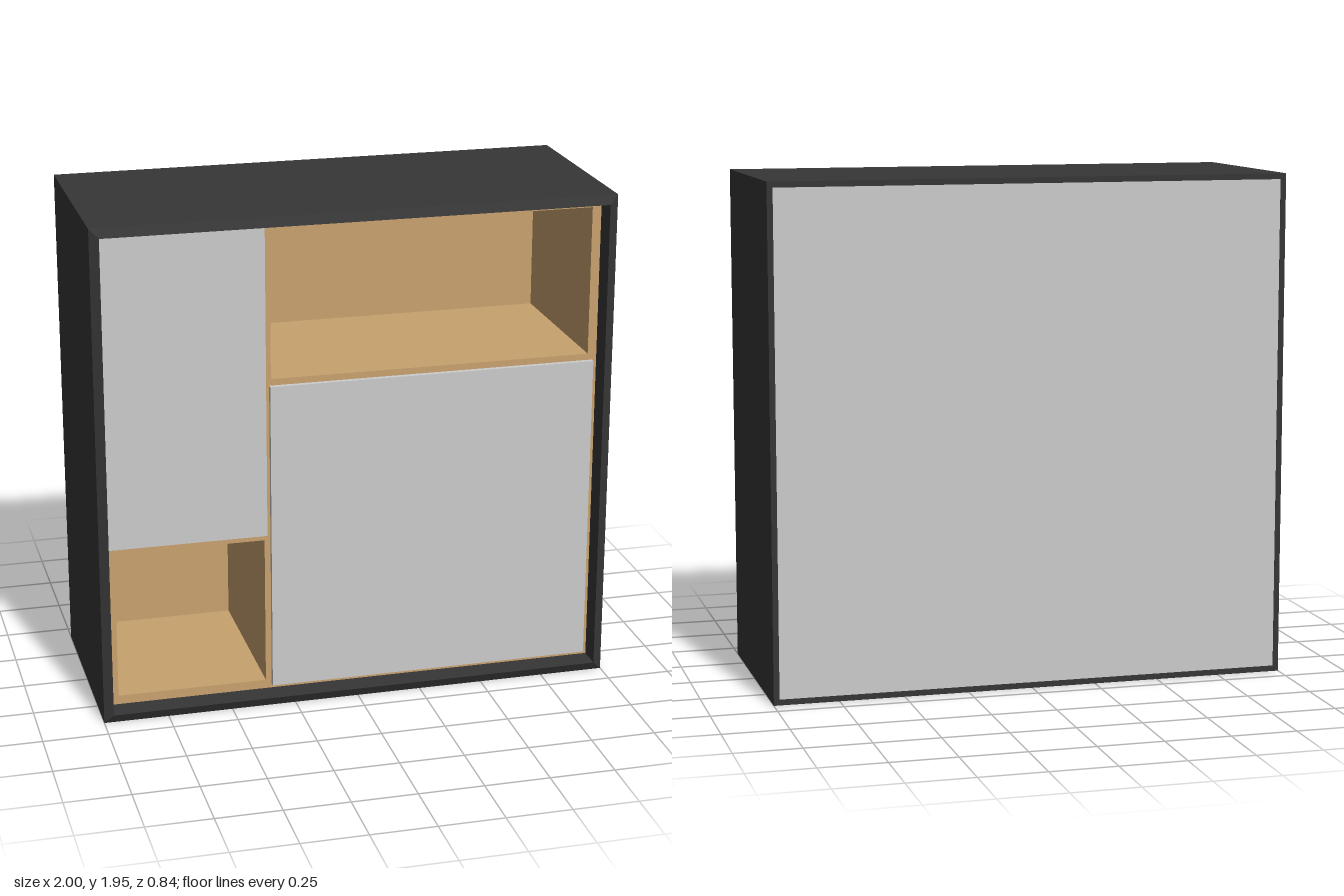
import * as THREE from 'three';

const H = 1.945;

// Rectangular frame swept from a cross-section of [inset, z] points
function frameGeometry(profile) {
  const signs = [[1, -1], [1, 1], [-1, 1], [-1, -1]];
  const corner = (k, [inset, z]) => {
    const [sx, sy] = signs[k % 4];
    return [sx * (1 - inset), H / 2 + sy * (H / 2 - inset), z];
  };
  const pos = [];
  for (let k = 0; k < 4; k++) {
    profile.forEach((p, i) => {
      const q = profile[(i + 1) % profile.length];
      const a = corner(k, p), b = corner(k + 1, p), c = corner(k + 1, q), d = corner(k, q);
      pos.push(...a, ...b, ...c, ...a, ...c, ...d);
    });
  }
  const g = new THREE.BufferGeometry();
  g.setAttribute('position', new THREE.Float32BufferAttribute(pos, 3));
  g.computeVertexNormals();
  return g;
}

// Closed rectangle path from its limits
function rect(Type, x0, x1, y0, y1) {
  return new Type([[x0, y0], [x1, y0], [x1, y1], [x0, y1]].map(([x, y]) => new THREE.Vector2(x, y)));
}

export function createModel() {
  const model = new THREE.Group();
  model.name = 'cabinet';
  const material = (name, color) => {
    const m = new THREE.MeshStandardMaterial({ color });
    m.name = name;
    return m;
  };
  const charcoal = material('charcoal', 0x363636);
  const wood = material('wood', 0xc8a26e);
  const paleGrey = material('paleGrey', 0xcccccc);

  const add = (name, geometry, mat) => {
    const mesh = new THREE.Mesh(geometry, mat);
    mesh.name = name;
    model.add(mesh);
    return mesh;
  };
  // Box given by its limits on each axis
  const board = (name, mat, x0, x1, y0, y1, z0, z1) =>
    add(name, new THREE.BoxGeometry(x1 - x0, y1 - y0, z1 - z0), mat)
      .position.set((x0 + x1) / 2, (y0 + y1) / 2, (z0 + z1) / 2);

  // Outer casing with a sloped front edge and a rebate for the back panel
  add('outerCasing', frameGeometry([
    [0, -0.42], [0, 0.403], [0.035, 0.42], [0.035, -0.395], [0.022, -0.395], [0.022, -0.42],
  ]), charcoal);

  // Wooden carcass: four compartments around a divider and two shelves
  const carcass = rect(THREE.Shape, -0.965, 0.965, 0.035, 1.91);
  carcass.holes.push(
    rect(THREE.Path, -0.93, -0.35, 0.07, 0.655),
    rect(THREE.Path, -0.93, -0.35, 0.69, 1.88),
    rect(THREE.Path, -0.32, 0.93, 0.07, 1.265),
    rect(THREE.Path, -0.32, 0.93, 1.3, 1.88),
  );
  const carcassGeometry = new THREE.ExtrudeGeometry(carcass, { depth: 0.69, bevelEnabled: false });
  carcassGeometry.translate(0, 0, -0.365);
  add('carcass', carcassGeometry, wood);
  board('carcassBack', wood, -0.965, 0.965, 0.035, 1.91, -0.39, -0.365);

  // Doors laid on the front of the carcass
  board('tallDoor', paleGrey, -0.955, -0.343, 0.68, 1.9, 0.325, 0.345);
  board('wideDoor', paleGrey, -0.327, 0.947, 0.052, 1.275, 0.325, 0.345);

  // Rear cover
  board('backPanel', paleGrey, -0.978, 0.978, 0.022, H - 0.022, -0.419, -0.395);

  return model;
}
